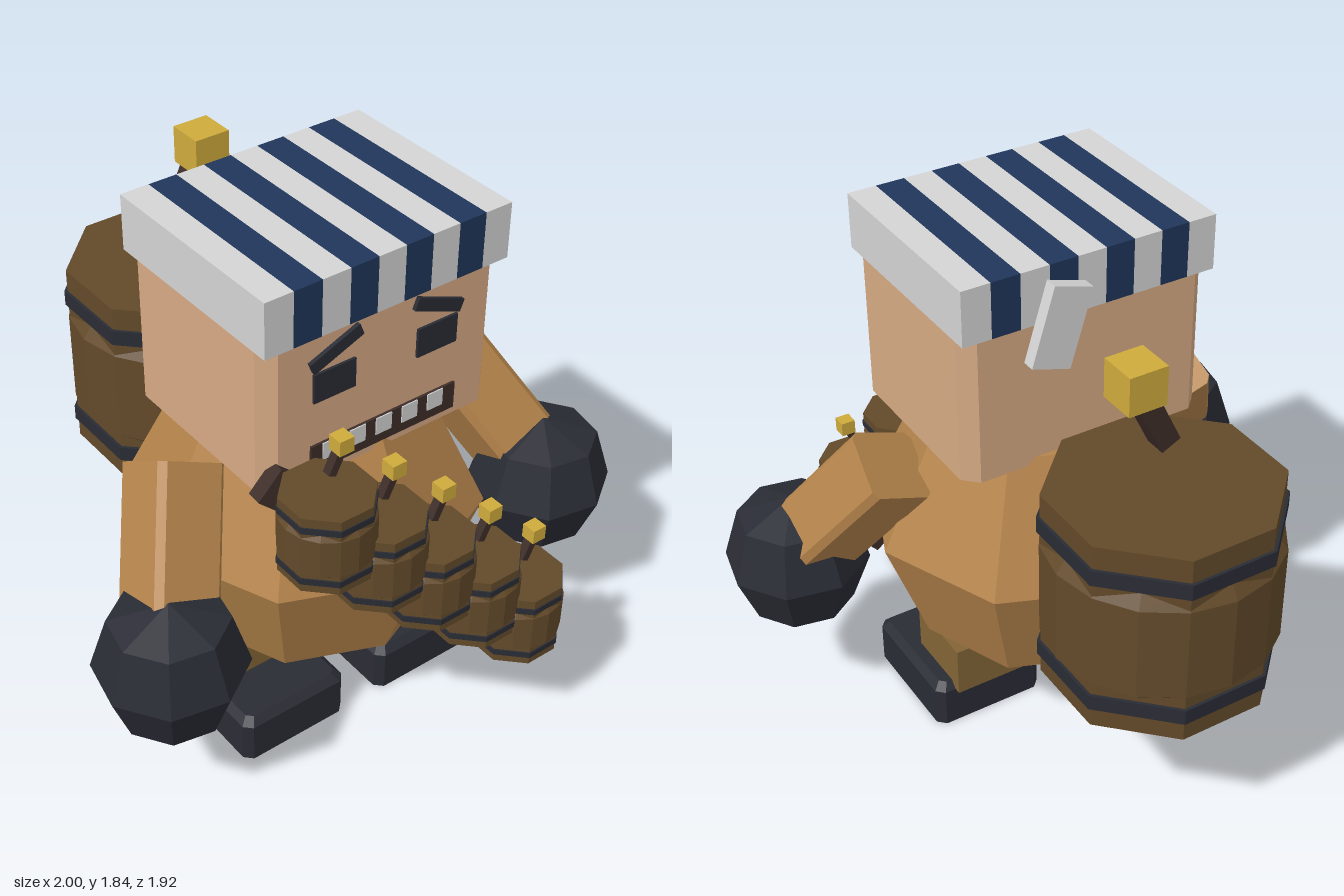
import * as THREE from 'three';

const mat = (name, color) => {
  const m = new THREE.MeshStandardMaterial({ color });
  m.name = name;
  return m;
};

// Cross-sections, corners running counter-clockwise seen from above
const polygon = (r, y, n, turn = 0) => Array.from({ length: n }, (_, i) => {
  const a = turn + (i / n) * Math.PI * 2;
  return [r * Math.cos(a), y, -r * Math.sin(a)];
});
const chamferRect = (hx, hz, y, c) => [
  [hx, c - hz], [hx, hz - c], [hx - c, hz], [c - hx, hz],
  [-hx, hz - c], [-hx, c - hz], [c - hx, -hz], [hx - c, -hz],
].map(([x, z]) => [x, y, -z]);

// Faceted solid through a list of cross-sections, closed at both ends
function loft(rings) {
  const p = [];
  const tri = (a, b, c) => p.push(...a, ...b, ...c);
  const n = rings[0].length;
  for (let k = 0; k < rings.length - 1; k++) {
    const lo = rings[k], hi = rings[k + 1];
    for (let i = 0; i < n; i++) {
      const j = (i + 1) % n;
      tri(lo[i], lo[j], hi[j]);
      tri(lo[i], hi[j], hi[i]);
    }
  }
  const first = rings[0], last = rings[rings.length - 1];
  for (let i = 1; i < n - 1; i++) {
    tri(first[0], first[i + 1], first[i]);
    tri(last[0], last[i], last[i + 1]);
  }
  const g = new THREE.BufferGeometry();
  g.setAttribute('position', new THREE.Float32BufferAttribute(p, 3));
  g.computeVertexNormals();
  return g;
}

export function createModel() {
  const skin = mat('skin', 0xd6aa84);
  const tunic = mat('tunic', 0xb5844b);
  const trouser = mat('trousers', 0x826536);
  const wood = mat('wood', 0x634a2a);
  const dark = mat('darkIron', 0x2a2c35);
  const white = mat('white', 0xd4d4d4);
  const navy = mat('navy', 0x20365a);
  const brown = mat('darkBrown', 0x3d2d28);
  const gold = mat('gold', 0xcfab3c);

  const model = new THREE.Group();
  model.name = 'barrelCarrier';
  const add = (parent, name, geo, material, x = 0, y = 0, z = 0) => {
    const m = new THREE.Mesh(geo, material);
    m.name = name;
    m.position.set(x, y, z);
    parent.add(m);
    return m;
  };
  const box = (parent, name, material, w, h, d, x, y, z, tilt = 0) => {
    const m = add(parent, name, new THREE.BoxGeometry(w, h, d), material, x, y, z);
    m.rotation.z = tilt;
    return m;
  };
  const cx = -0.015;

  // Body: two-tier octagon, widest at the belly
  add(model, 'body', loft([
    polygon(0.445, 0.365, 8), polygon(0.59, 0.765, 8), polygon(0.385, 1.185, 8),
  ]), tunic, cx, 0, 0.14);

  // Head with chamfered upright edges
  add(model, 'head', loft([
    chamferRect(0.437, 0.343, 1.16, 0.048), chamferRect(0.437, 0.343, 1.68, 0.048),
  ]), skin, cx, 0, 0.178);

  // Striped cap made of nine slices, with a tail of cloth behind
  for (let i = 0; i < 9; i++) {
    box(model, 'capStripe', i % 2 ? navy : white, 0.099, 0.188, 0.715,
      cx + (i - 4) * 0.099, 1.765, 0.178);
  }
  box(model, 'capTail', white, 0.14, 0.27, 0.045, 0.123, 1.67, -0.2125, 0.3);

  // Face
  const faceZ = 0.526;
  for (const s of [-1, 1]) {
    box(model, 'eye', dark, 0.152, 0.1, 0.009, cx + s * 0.192, 1.49, faceZ);
    box(model, 'eyebrow', dark, 0.19, 0.042, 0.03, cx + s * 0.19, 1.602, 0.52, -s * 0.38);
  }
  box(model, 'mouth', brown, 0.55, 0.095, 0.009, cx, 1.237, faceZ);
  for (let i = -2; i <= 2; i++) {
    box(model, 'tooth', white, 0.06, 0.06, 0.009, -0.02 + i * 0.1, 1.254, faceZ + 0.004);
  }

  // Arms and fists
  const fist = loft([
    polygon(0.18, 0.45, 8, 0.2), polygon(0.247, 0.625, 8, 0.2),
    polygon(0.19, 0.805, 8, 0.2), polygon(0.004, 0.868, 8, 0.2),
  ]);
  const arm = loft([chamferRect(0.12, 0.12, 0, 0.022), chamferRect(0.12, 0.12, 0.52, 0.022)]);
  for (const s of [-1, 1]) {
    const shoulder = new THREE.Vector3(s * 0.525, 1.095, 0.145);
    const up = new THREE.Vector3(-s * 0.4, 0.765, -0.505).normalize();
    const depth = new THREE.Vector3(-s * 0.026, 0.12, 0.205).normalize();
    const side = new THREE.Vector3().crossVectors(up, depth).normalize();
    depth.crossVectors(side, up);
    const a = add(model, 'arm', arm, tunic);
    a.quaternion.setFromRotationMatrix(new THREE.Matrix4().makeBasis(side, up, depth));
    a.position.copy(shoulder).addScaledVector(up, -0.52);
    add(model, 'fist', fist, dark, s * 0.757, 0, 0.45);
  }

  // Legs and hollow-soled shoes
  const shoe = loft([
    chamferRect(0.13, 0.155, 0.172, 0.01), chamferRect(0.155, 0.18, 0.07, 0.01),
    chamferRect(0.16, 0.185, 0.02, 0.01), chamferRect(0.205, 0.228, 0.02, 0.027),
    chamferRect(0.205, 0.228, 0.165, 0.027), chamferRect(0.18, 0.203, 0.19, 0.02),
  ]);
  for (const s of [-1, 1]) {
    const x = cx + s * 0.277;
    add(model, 'shoe', shoe, dark, x, 0, 0.247);
    box(model, 'leg', trouser, 0.278, 0.185, 0.275, x, 0.2575, 0.1325);
  }

  // Barrel with bulging staves, iron bands, dark base and a fuse above the lid
  const turn = Math.PI / 8;
  const core = loft([polygon(0.378, -0.345, 8, turn), polygon(0.378, 0.3475, 8, turn)]);
  const staves = loft([
    polygon(0.35, -0.2, 16), polygon(0.381, -0.17, 16),
    polygon(0.381, 0.16, 16), polygon(0.35, 0.205, 16),
  ]);
  const band = loft([polygon(0.389, -0.0275, 8, turn), polygon(0.389, 0.0275, 8, turn)]);
  const base = loft([polygon(0.374, -0.3475, 8, turn), polygon(0.374, -0.34, 8, turn)]);
  const addBarrel = (name, x, y, z, scale) => {
    const g = new THREE.Group();
    g.name = name;
    g.position.set(x, y, z);
    g.scale.setScalar(scale);
    add(g, 'barrelCore', core, wood);
    add(g, 'barrelStaves', staves, wood);
    add(g, 'barrelBase', base, dark);
    for (const h of [-0.245, 0.24]) add(g, 'barrelBand', band, dark, 0, h, 0);
    box(g, 'fuse', brown, 0.07, 0.19, 0.075, 0.045, 0.585, 0.01, -0.45);
    box(g, 'fuseSpark', gold, 0.13, 0.13, 0.13, 0.11, 0.737, 0.01);
    model.add(g);
  };
  addBarrel('backBarrel', cx, 0.9275, -0.588, 1);
  for (let i = 0; i < 5; i++) {
    addBarrel('beltBarrel', -0.37 + i * 0.178, 1.152 - i * 0.157, 0.71 + i * 0.024, 0.39);
  }

  // Shoulder strap running diagonally behind the small barrels
  const from = new THREE.Vector3(-0.45, 1.23, 0.52), to = new THREE.Vector3(0.43, 0.43, 0.63);
  const strap = box(model, 'strap', brown, from.distanceTo(to), 0.12, 0.055, 0, 0, 0);
  strap.position.copy(from).add(to).multiplyScalar(0.5);
  strap.quaternion.setFromUnitVectors(new THREE.Vector3(1, 0, 0), to.clone().sub(from).normalize());

  return model;
}
